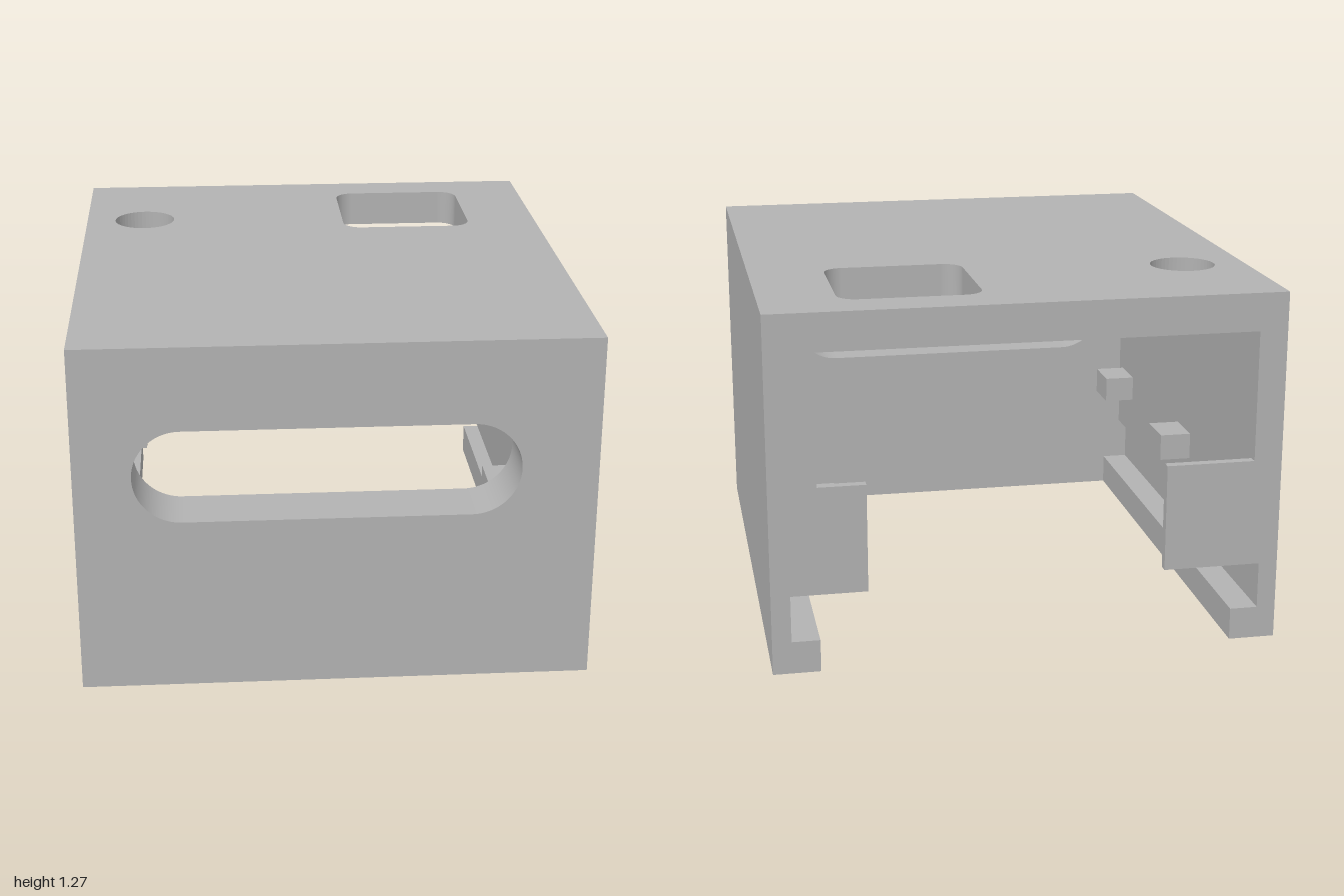
import * as THREE from 'three';

const W = 0.9, H = 1.27, D = 1;            // half width, height, half depth
const ROOF = 1.135, FRONT = 0.787;         // underside of roof, inside of front wall

export function createModel() {
  const group = new THREE.Group();
  const plastic = new THREE.MeshStandardMaterial({ color: 0xb2b2b2 });
  plastic.name = 'grey plastic';

  const add = (name, geometry) => {
    const mesh = new THREE.Mesh(geometry, plastic);
    mesh.name = name;
    group.add(mesh);
    return mesh;
  };
  const extrude = (shape, depth) =>
    new THREE.ExtrudeGeometry(shape, { depth, bevelEnabled: false, curveSegments: 24 });
  const polygon = (pts) => new THREE.Shape(pts.map(([x, y]) => new THREE.Vector2(x, y)));
  const rect = (x0, y0, x1, y1) => polygon([[x0, y0], [x1, y0], [x1, y1], [x0, y1]]);
  const roundedHole = (x0, y0, x1, y1, r) => {
    const p = new THREE.Path();
    p.absarc(x1 - r, y1 - r, r, 0, Math.PI / 2);
    p.absarc(x0 + r, y1 - r, r, Math.PI / 2, Math.PI);
    p.absarc(x0 + r, y0 + r, r, Math.PI, Math.PI * 1.5);
    p.absarc(x1 - r, y0 + r, r, Math.PI * 1.5, Math.PI * 2);
    p.closePath();
    return p;
  };
  const box = (name, x0, x1, y0, y1, z0, z1) =>
    add(name, new THREE.BoxGeometry(x1 - x0, y1 - y0, z1 - z0))
      .position.set((x0 + x1) / 2, (y0 + y1) / 2, (z0 + z1) / 2);

  // Thick front wall with a long rounded slot
  const front = rect(-W, 0, W, H);
  front.holes.push(roundedHole(-0.7, 0.633, 0.633, 0.97, 0.168));
  add('frontWall', extrude(front, D - FRONT).translate(0, 0, FRONT));

  // Roof with a round hole and a rounded square hole (shape y is -z)
  const roof = rect(-W, -FRONT, W, D);
  const round = new THREE.Path();
  round.absarc(-0.67, 0.5, 0.118, 0, Math.PI * 2);
  roof.holes.push(round, roundedHole(0.127, 0.335, 0.63, 0.84, 0.07));
  add('roof', extrude(roof, H - ROOF).rotateX(-Math.PI / 2).translate(0, ROOF, 0));

  // Side walls: bottom lip, groove above it, then the thicker upper wall
  for (const [name, s, inner] of [['leftWall', 1, 0.733], ['rightWall', -1, 0.8]]) {
    const profile = polygon([
      [W, 0], [W, ROOF], [inner, ROOF], [inner, 0.283],
      [0.833, 0.283], [0.833, 0.116], [0.734, 0.116], [0.734, 0],
    ].map(([x, y]) => [s * x, y]));
    add(name, extrude(profile, FRONT + D).translate(0, 0, -D));
  }

  // Thin tabs reaching in at the open back
  box('leftTab', 0.565, 0.733, 0.283, 0.668, -D, -0.967);
  box('rightTab', -0.8, -0.485, 0.283, 0.668, -D, -0.967);

  // Small support blocks on the inner walls
  for (const z of [-0.6, 0.27]) box('leftBlock', 0.615, 0.733, 0.39, 0.487, z, z + 0.165);
  for (const z of [-0.26, 0.57]) box('rightBlock', -0.8, -0.682, 0.44, 0.54, z, z + 0.165);

  return group;
}
